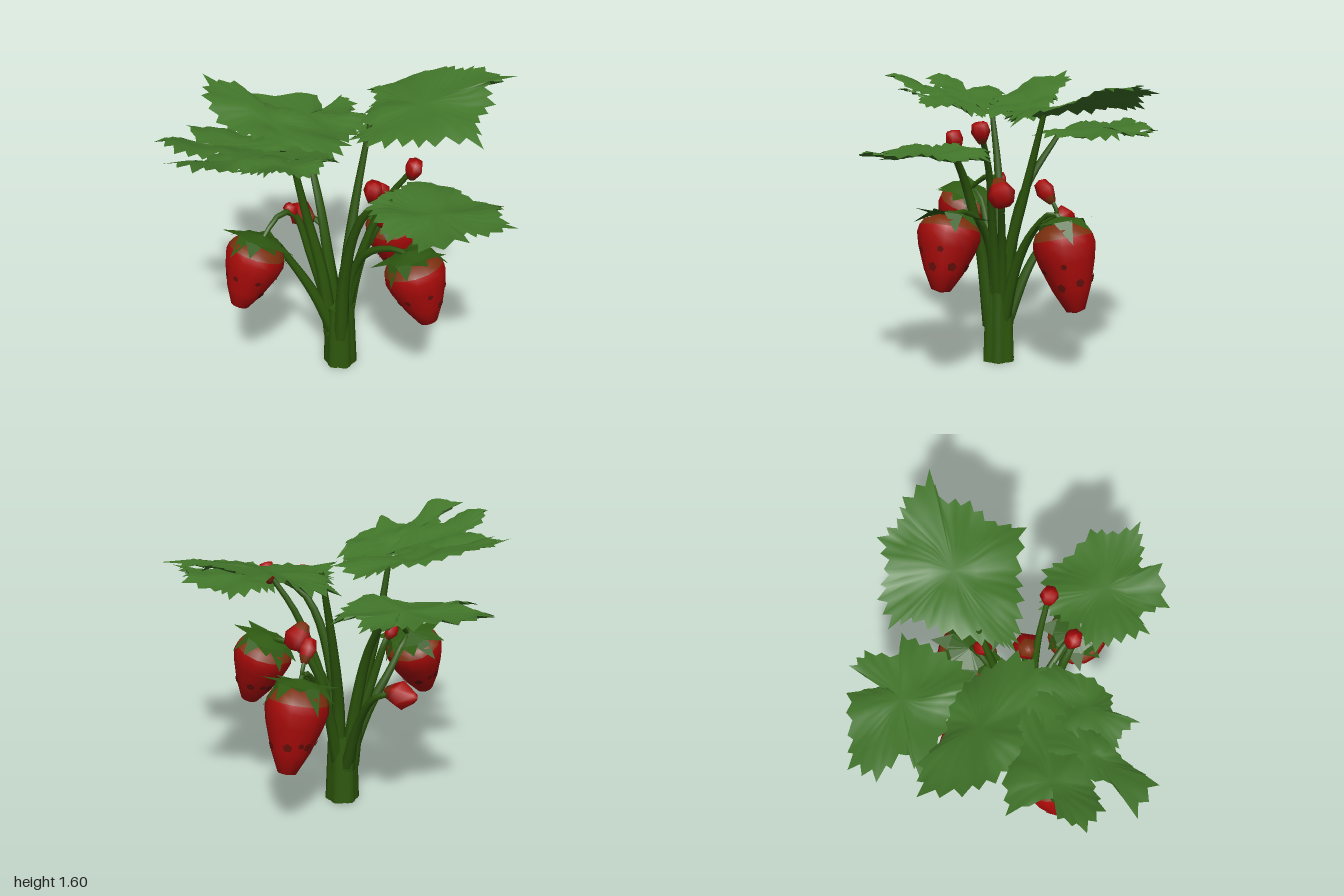
import * as THREE from 'three';

const mat = (name, color, side = THREE.FrontSide) => {
  const m = new THREE.MeshStandardMaterial({ color, side });
  m.name = name;
  return m;
};
const V = (p) => new THREE.Vector3(...p);

export function createModel() {
  const leafGreen = mat('leaf green', 0x42762a, THREE.DoubleSide);
  const stemGreen = mat('stem green', 0x2d560c);
  const calyxGreen = mat('calyx green', 0x2f5a12, THREE.DoubleSide);
  const red = mat('berry red', 0xa80b09);
  const rust = mat('shoulder rust', 0x7c300e);
  const dark = mat('seed dark red', 0x640f0a);

  const model = new THREE.Group();
  model.name = 'strawberryPlant';
  const add = (name, geo, material, parent = model) => {
    const m = new THREE.Mesh(geo, material);
    m.name = name;
    parent.add(m);
    return m;
  };

  // Leaf: serrated outline (x, z) filled with rings; height follows the midrib and droops to the sides
  function leaf(name, flat, stem, axis, height, droop, seed) {
    const pts = [];
    for (let i = 0; i < flat.length; i += 2) pts.push(new THREE.Vector2(flat[i], flat[i + 1]));
    if (THREE.ShapeUtils.area(pts) > 0) pts.reverse();
    const c = new THREE.Vector2();
    pts.forEach((p) => c.addScaledVector(p, 1 / pts.length));
    const rim = [];
    pts.forEach((p, i) => {
      const q = pts[(i + 1) % pts.length];
      [[0, 1], [0.28, 0.89], [0.5, 1], [0.75, 0.89]].forEach(([t, s]) =>
        rim.push(p.clone().lerp(q, t).sub(c).multiplyScalar(s).add(c)));
    });
    const n = rim.length, pos = [], idx = [];
    const len = Math.hypot(...axis), ax = axis[0] / len, az = axis[1] / len;
    const put = (x, z, edge) => {
      const dx = x - stem[0], dz = z - stem[1];
      const along = Math.max(0, dx * ax + dz * az), side = dx * az - dz * ax;
      const ripple = 0.022 * Math.sin(x * 17 + seed) * Math.cos(z * 15 + seed);
      pos.push(x, height(along) - droop * side * side + ripple - edge, z);
    };
    put(c.x, c.y, 0.012);
    [0.35, 0.7, 1].forEach((s, r) => rim.forEach((p, i) =>
      put(c.x + (p.x - c.x) * s, c.y + (p.y - c.y) * s, r === 2 && i % 2 === 0 ? 0.014 : 0)));
    for (let i = 0; i < n; i++) {
      const j = (i + 1) % n;
      idx.push(0, 1 + i, 1 + j);
      for (let r = 0; r < 2; r++) {
        const a = 1 + r * n + i, b = 1 + r * n + j;
        idx.push(a, a + n, b + n, a, b + n, b);
      }
    }
    const g = new THREE.BufferGeometry();
    g.setAttribute('position', new THREE.Float32BufferAttribute(pos, 3));
    g.setIndex(idx);
    g.computeVertexNormals();
    add(name, g, leafGreen);
  }

  const low = (d) => 1.25 - 0.14 * d + 0.23 * d * d;
  const mid = (d) => 1.275 + 0.06 * d;
  const rise = (d) => 1.4 + 0.24 * Math.pow(d, 1.3);
  const steep = (d) => 1.4 + 0.29 * Math.pow(d, 1.3);
  leaf('frontLeaf', [-.26, .25, -.34, .37, -.43, .51, -.33, .56, -.43, .69, -.26, .87, -.18, .79, -.13, .9, -.03, 1,
    .06, .87, .17, .82, .19, .6, .25, .48, .16, .34, .12, .27, -.02, .28, -.14, .24], [-.1, .28], [.05, 1], low, .1, 0);
  leaf('rightLeaf', [.02, -.05, .06, .05, .16, .21, .27, .34, .4, .56, .53, .46, .69, .46, .8, .36, .94, .45, .95, .24, .9, .13,
    .93, 0, .8, -.11, .75, -.24, .61, -.33, .53, -.23, .38, -.19, .19, -.11, .08, -.06], [.15, 0], [.96, .27], rise, .25, 1);
  leaf('backRightLeaf', [.08, -.22, .13, -.4, .08, -.53, .02, -.83, .16, -.77, .2, -.96, .34, -1, .46, -.86, .61, -.69,
    .5, -.54, .69, -.57, .69, -.45, .53, -.37, .6, -.26, .45, -.22, .25, -.2], [.14, -.4], [.4, -.8], mid, .06, 2);
  const hub = [-.15, -.18];
  leaf('backLeaflet', [-.15, .0, -.26, -.34, -.34, -.48, -.31, -.66, -.24, -.82, -.08, -.95, .03, -.82, .03, -.63,
    .11, -.48, .14, -.32, .12, -.18, .03, -.02], hub, [.05, -1], steep, .3, 3);
  leaf('leftLeaflet', [-.13, -.08, -.42, -.1, -.63, -.18, -.78, -.22, -.94, -.24, -.95, -.43, -.77, -.35,
    -.6, -.42, -.4, -.44, -.2, -.36], hub, [-1, -.2], rise, .2, 4);
  leaf('backLeftLeaflet', [-.2, -.2, -.45, -.25, -.7, -.4, -.81, -.48, -.8, -.62, -.65, -.64, -.57, -.56,
    -.44, -.76, -.33, -.64, -.18, -.38], hub, [-1, -.7], rise, .1, 5);
  leaf('frontLeftLeaflet', [-.08, -.08, -.15, .03, -.23, .02, -.37, .07, -.5, .04, -.55, -.04, -.69, -.02, -.66, -.13,
    -.7, -.22, -.5, -.3, -.25, -.25], hub, [-1, .2], rise, .25, 6);

  // Tapered stems
  function stem(name, points, r0, r1) {
    const curve = new THREE.CatmullRomCurve3(points.map(V));
    const steps = 14, sides = 7;
    const g = new THREE.TubeGeometry(curve, steps, 1, sides);
    const p = g.attributes.position, v = new THREE.Vector3();
    for (let i = 0; i <= steps; i++) {
      const c = curve.getPointAt(i / steps), r = r0 + (r1 - r0) * i / steps;
      for (let j = 0; j <= sides; j++) {
        const k = i * (sides + 1) + j;
        v.fromBufferAttribute(p, k).sub(c).multiplyScalar(r).add(c);
        p.setXYZ(k, v.x, v.y, v.z);
      }
    }
    add(name, g, stemGreen);
  }
  stem('frontLeafStem', [[-.07, .2, -.03], [-.1, .65, .02], [-.13, 1.02, .13], [-.13, 1.17, .23], [-.11, 1.23, .34]], .045, .016);
  stem('rightLeafStem', [[0, .2, -.05], [.03, .6, -.06], [.13, .98, -.07], [.25, 1.41, -.06]], .045, .014);
  stem('leftLeafStem', [[-.07, .2, -.1], [-.09, .6, -.14], [-.13, 1, -.22], [-.2, 1.4, -.26]], .045, .014);
  stem('backLeafStem', [[-.01, .2, -.1], [-.01, .6, -.15], [.03, .95, -.24], [.15, 1.27, -.43]], .045, .014);
  stem('leftBerryStem', [[-.07, .22, -.08], [-.15, .5, -.16], [-.24, .74, -.26], [-.33, .9, -.31], [-.4, .92, -.31]], .04, .013);
  stem('leftBudStem', [[-.06, .25, -.08], [-.11, .7, -.2], [-.16, .98, -.28], [-.27, 1, -.3], [-.39, .91, -.31]], .035, .012);
  stem('frontBerryStem', [[-.04, .2, -.05], [-.03, .65, .03], [-.04, .82, .14], [-.04, .9, .32], [-.04, .88, .42]], .04, .013);
  stem('rightBerryStem', [[0, .22, -.05], [.1, .57, -.03], [.22, .78, -.01], [.34, .88, 0], [.4, .83, 0]], .04, .013);
  stem('rightBudStem', [[.28, .82, 0], [.36, .88, 0], [.31, .98, 0]], .014, .01);
  stem('backBudStem', [[0, .22, -.1], [.08, .52, -.2], [.16, .73, -.33], [.16, .77, -.43]], .036, .014);
  stem('highBudStem', [[-.03, .25, -.05], [0, .75, .06], [.05, 1.1, .18], [.09, 1.32, .32]], .035, .014);
  stem('midBudStem', [[-.01, .25, -.05], [.04, .7, .03], [.1, .97, .14]], .035, .016);

  // Fluted trunk where the stems join
  const trunk = new THREE.CylinderGeometry(0.08, 0.095, 0.4, 24, 4);
  const tp = trunk.attributes.position;
  for (let i = 0; i < tp.count; i++) {
    const x = tp.getX(i), z = tp.getZ(i), s = 0.94 + 0.08 * Math.cos(6 * Math.atan2(z, x));
    tp.setX(i, x * s);
    tp.setZ(i, z * s);
  }
  trunk.computeVertexNormals();
  add('trunk', trunk, stemGreen).position.set(-0.035, 0.2, -0.06);

  // Berries: lathe body, rusty shoulder, spiky calyx and dark seeds
  const P = [[0, -1], [.3, -.97], [.62, -.72], [.9, -.42], [1, -.25], [.96, -.15], [.84, -.06], [.5, .01], [0, .02]];
  const lathe = (pts, r, len, seg) =>
    new THREE.LatheGeometry(pts.map(([a, b]) => new THREE.Vector2(a * r, b * len)), seg);
  const orient = (o, top, tip) => {
    o.position.copy(V(top));
    o.quaternion.setFromUnitVectors(new THREE.Vector3(0, -1, 0), V(tip).sub(V(top)).normalize());
  };

  function berry(name, top, tip, r) {
    const g = new THREE.Group();
    g.name = name;
    const len = V(top).distanceTo(V(tip));
    add('fruit', lathe(P.slice(0, 6), r, len, 14), red, g);
    add('shoulder', lathe(P.slice(5), r, len, 14), rust, g);
    // Pointed sepals folded over the shoulder
    const pos = [], n = 10;
    for (let i = 0; i < n; i++) {
      const at = (a, rad, y) => [Math.sin(a) * rad * r, y * len, Math.cos(a) * rad * r];
      const a = i / n * Math.PI * 2, w = 0.4;
      const tipPt = at(a + 0.12, [1.3, 1.1, 1.16][i % 3], [0.03, -0.24, -0.12][i % 3]);
      const L = at(a - w, .74, .03), R = at(a + w, .74, .03), C = [0, .1 * len, 0];
      pos.push(...C, ...L, ...R, ...L, ...tipPt, ...R);
    }
    const cal = new THREE.BufferGeometry();
    cal.setAttribute('position', new THREE.Float32BufferAttribute(pos, 3));
    cal.computeVertexNormals();
    add('calyx', cal, calyxGreen, g);
    for (let i = 0; i < 10; i++) {
      const a = i * 2.4, t = 0.1 + 0.8 * ((i * 0.37) % 1);
      const [r0, y0] = P[2], [r1, y1] = P[3];
      const rad = (r0 + (r1 - r0) * t) * r, y = (y0 + (y1 - y0) * t) * len;
      const dy = (y1 - y0) * len;
      const out = new THREE.Vector3(Math.sin(a) * dy, -(r1 - r0) * r, Math.cos(a) * dy).normalize();
      const s = add('seed', new THREE.CircleGeometry(i % 3 ? 0.018 : 0.026, 5), dark, g);
      s.position.set(Math.sin(a) * rad, y, Math.cos(a) * rad).addScaledVector(out, 0.003);
      s.quaternion.setFromUnitVectors(new THREE.Vector3(0, 0, 1), out);
    }
    orient(g, top, tip);
    model.add(g);
  }
  berry('leftBerry', [-.395, .9, -.32], [-.54, .54, -.37], .163);
  berry('frontBerry', [-.04, .88, .405], [-.03, .51, .53], .167);
  berry('rightBerry', [.385, .82, .0], [.5, .36, .03], .17);

  // Small unripe buds: rusty cone below, red tip with a given bluntness
  [[[.09, 1.26, .31], [.09, 1.38, .34], .05, .8],
    [[-.13, 1.19, .21], [-.14, 1.32, .24], .05, .8],
    [[.06, 1.06, .12], [.14, .92, .17], .078, .7],
    [[.34, .93, 0], [.25, 1.05, 0], .05, .7],
    [[.13, .76, -.37], [.17, .77, -.57], .078, .35],
    [[-.14, .95, -.27], [-.18, 1.03, -.31], .038, .7],
  ].forEach(([base, tip, r, blunt]) => {
    const g = new THREE.Group();
    g.name = 'bud';
    const len = V(base).distanceTo(V(tip));
    add('budFruit', lathe([[0, -1], [blunt, -.92], [1, -.55], [.7, -.28]], r, len, 6), red, g);
    add('budBase', lathe([[.7, -.28], [.4, -.05], [0, 0]], r, len, 6), rust, g);
    orient(g, base, tip);
    model.add(g);
  });

  return model;
}
